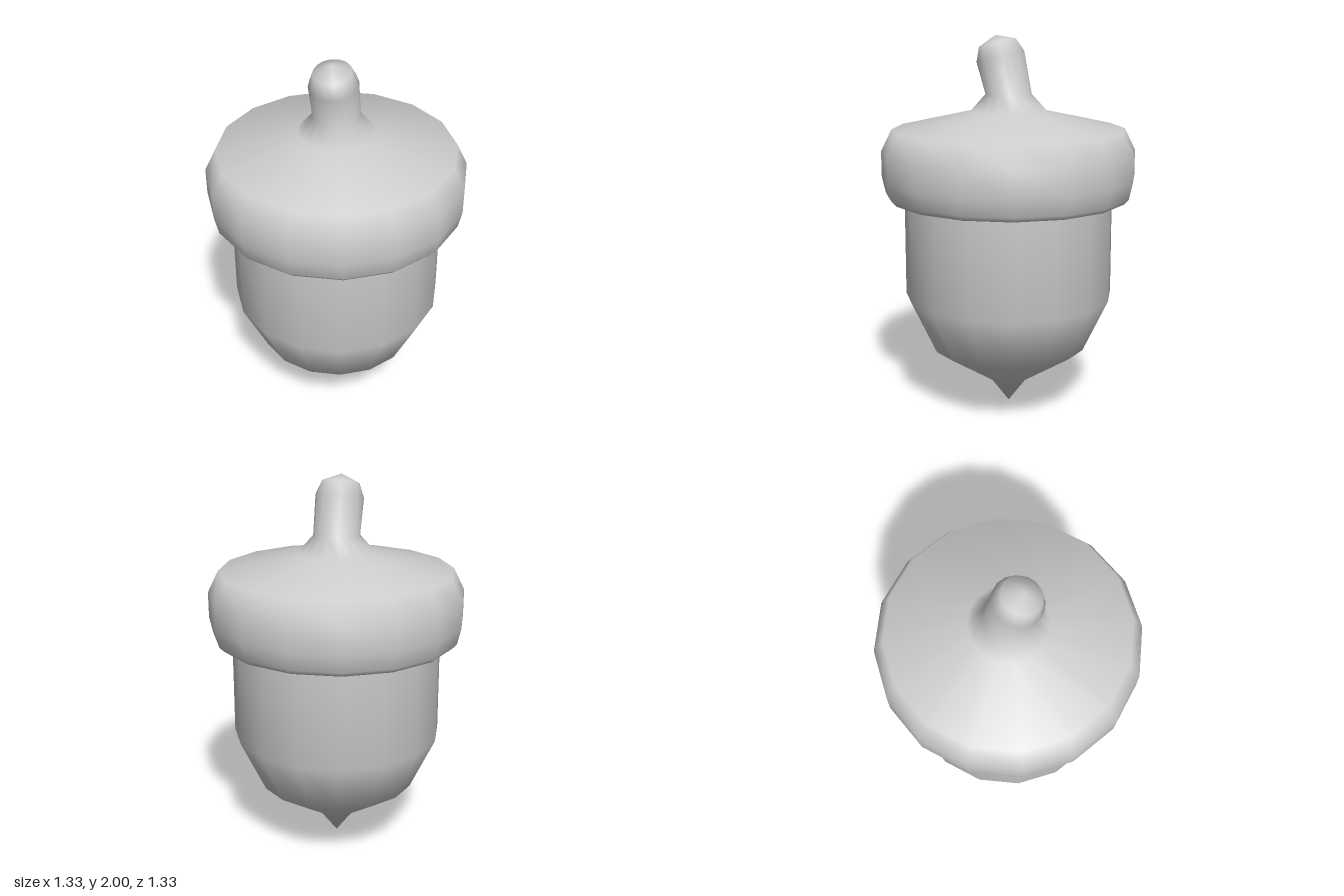
import * as THREE from 'three';
import { mergeVertices } from 'three/addons/utils/BufferGeometryUtils.js';

const material = new THREE.MeshStandardMaterial({ color: 0xcccccc });

// Smooth 16-sided turned part from [radius, height] pairs, listed bottom to top
function turned(name, profile, bend) {
  let geo = new THREE.LatheGeometry(profile.map(([r, y]) => new THREE.Vector2(r, y)), 16);
  geo.deleteAttribute('uv');
  geo.deleteAttribute('normal');
  const pos = geo.attributes.position;
  if (bend) {
    const v = new THREE.Vector3();
    for (let i = 0; i < pos.count; i++) {
      bend(v.fromBufferAttribute(pos, i));
      pos.setXYZ(i, v.x, v.y, v.z);
    }
  }
  geo = mergeVertices(geo, 1e-4);
  geo.computeVertexNormals();
  const mesh = new THREE.Mesh(geo, material);
  mesh.name = name;
  return mesh;
}

// Leans the stem forward and tips its upper rings
function leanStem(v) {
  const base = 1.7;
  if (v.y <= base) return;
  const rise = v.y - base;
  const tip = 0.25 * Math.min(rise / 0.19, 1);
  v.y -= v.z * tip;
  v.z += rise * 0.24;
}

export function createModel() {
  const group = new THREE.Group();
  group.name = 'acorn';

  // Nut with pointed tip, running up inside the cap
  group.add(turned('nut', [
    [0, 0.005], [0.1, 0.14], [0.42, 0.35], [0.553, 0.635], [0.55, 1.16], [0.55, 1.3],
  ]));

  // Cap with rolled rim, flowing into the bent stem
  group.add(turned('capAndStem', [
    [0.545, 1.28], [0.58, 1.2], [0.61, 1.16], [0.625, 1.16], [0.648, 1.185],
    [0.667, 1.27], [0.667, 1.405], [0.61, 1.52],
    [0.2, 1.612], [0.12, 1.7], [0.123, 1.89], [0.095, 1.96], [0, 2],
  ], leanStem));

  return group;
}
